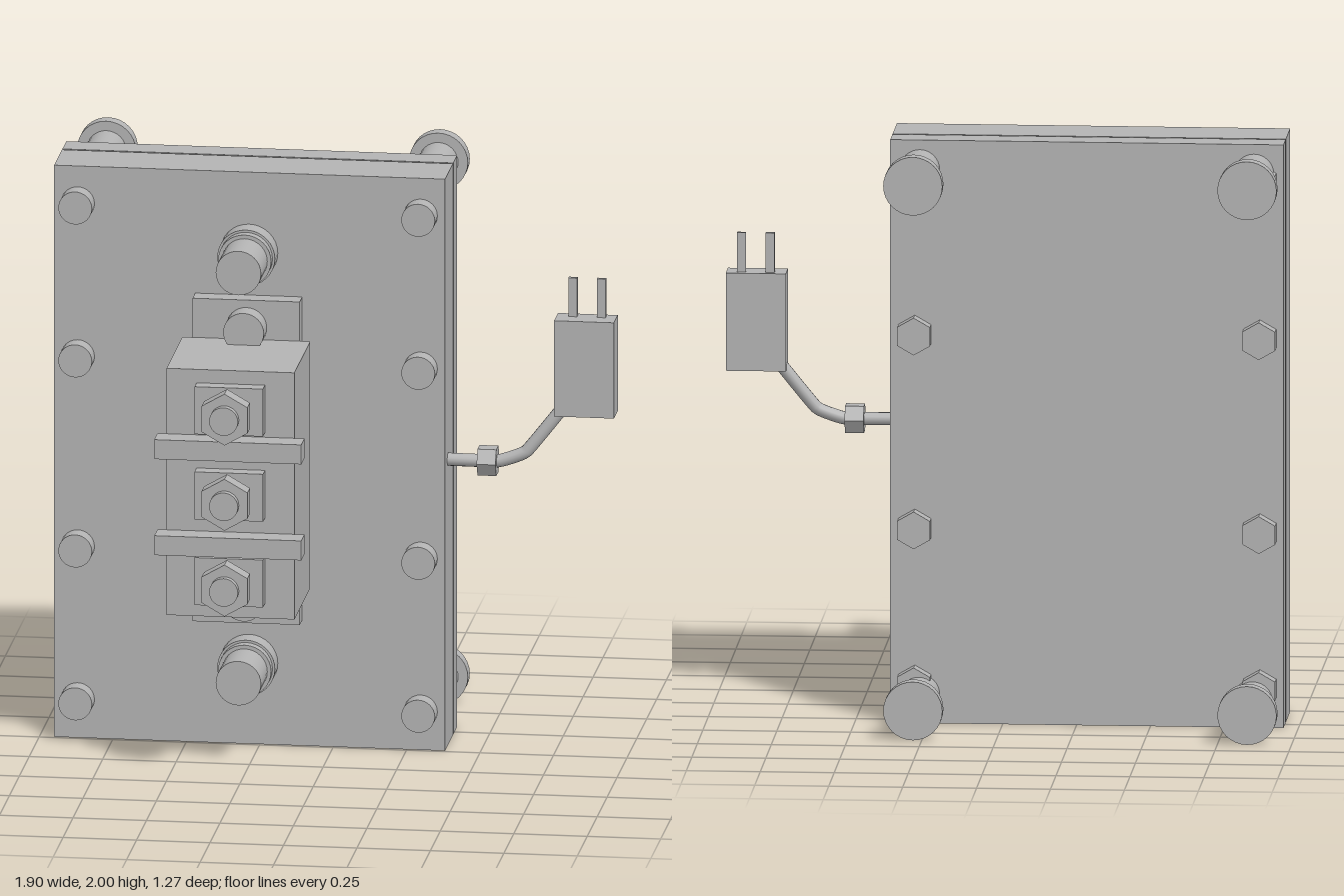
import * as THREE from 'three';

export function createModel() {
  const model = new THREE.Group();
  const grey = new THREE.MeshStandardMaterial({ color: 0xb4b4b4 });
  grey.name = 'plain grey';

  function add(name, geometry) {
    const mesh = new THREE.Mesh(geometry, grey);
    mesh.name = name;
    model.add(mesh);
    return mesh;
  }
  // Box given by its limits on each axis
  function box(name, x0, x1, y0, y1, z0, z1) {
    add(name, new THREE.BoxGeometry(x1 - x0, y1 - y0, z1 - z0))
      .position.set((x0 + x1) / 2, (y0 + y1) / 2, (z0 + z1) / 2);
  }
  // Round bar along z
  function rod(name, x, y, r, z0, z1) {
    const g = new THREE.CylinderGeometry(r, r, z1 - z0, 32).rotateX(Math.PI / 2);
    add(name, g).position.set(x, y, (z0 + z1) / 2);
  }
  // Faceted hexagonal prism, upright along y before turning
  function hex(r, length) {
    const g = new THREE.CylinderGeometry(r, r, length, 6).toNonIndexed();
    g.computeVertexNormals();
    return g;
  }
  function nut(name, x, y, r, z0, z1) {
    add(name, hex(r, z1 - z0).rotateX(Math.PI / 2)).position.set(x, y, (z0 + z1) / 2);
  }

  // Sandwich of two plates with a thin inset gasket
  box('frontPlate', -0.95, 0.38, 0, 2, -0.207, -0.01);
  box('gasket', -0.83, 0.27, 0.12, 1.88, -0.219, -0.205);
  box('backPlate', -0.95, 0.38, 0, 2, -0.315, -0.217);

  // Through bolts: round heads in front, nuts behind
  for (const x of [-0.87, 0.297]) {
    for (const y of [0.135, 0.67, 1.335, 1.87]) {
      rod('boltHead', x, y, 0.057, -0.01, 0.055);
      nut('boltNut', x, y, 0.064, -0.37, -0.315);
    }
  }

  // Corner standoffs with disc feet
  for (const x of [-0.85, 0.28]) {
    for (const y of [0.1, 1.9]) {
      rod('standoffPost', x, y, 0.067, -0.59, -0.315);
      rod('standoffFoot', x, y, 0.1, -0.635, -0.585);
    }
  }

  // Stepped ports above and below the terminal block
  const cx = -0.287;
  for (const y of [0.285, 1.72]) {
    rod('portCollar', cx, y, 0.098, -0.01, 0.065);
    rod('portStep', cx, y, 0.09, 0.06, 0.1);
    rod('portStem', cx, y, 0.077, 0.1, 0.26);
  }

  // Terminal block with mounting flange
  box('blockFlange', -0.47, -0.106, 0.44, 1.57, -0.01, 0.055);
  box('blockBody', -0.505, -0.07, 0.57, 1.433, 0.055, 0.455);
  for (const y of [0.535, 1.475]) rod('flangeBolt', cx, y, 0.069, 0.055, 0.13);
  for (const y of [0.705, 1.005, 1.303]) {
    box('terminalPlate', -0.403, -0.17, y - 0.083, y + 0.083, 0.455, 0.505);
    rod('terminalStud', cx, y, 0.049, 0.505, 0.635);
    nut('terminalNut', cx, y, 0.09, 0.547, 0.61);
  }
  for (const y of [0.834, 1.17]) box('divider', -0.536, -0.036, y - 0.034, y + 0.034, 0.455, 0.535);
  for (const y of [0.96, 1.046]) box('sideTab', -0.523, -0.505, y - 0.022, y + 0.022, 0.225, 0.32);

  // Sensor lead: gland nut, bent cable and two-pin plug
  const path = new THREE.CatmullRomCurve3([
    [0.36, 1, -0.085], [0.55, 1, -0.085], [0.645, 1.035, -0.09], [0.765, 1.185, -0.107],
  ].map((p) => new THREE.Vector3(...p)), false, 'catmullrom', 0.15);
  add('cable', new THREE.TubeGeometry(path, 36, 0.022, 14));
  add('glandNut', hex(0.053, 0.064).rotateZ(Math.PI / 2)).position.set(0.516, 1, -0.085);
  box('plugBody', 0.745, 0.948, 1.17, 1.505, -0.157, -0.058);
  for (const x of [0.8, 0.897]) box('plugPin', x - 0.015, x + 0.015, 1.505, 1.64, -0.133, -0.117);

  return model;
}
